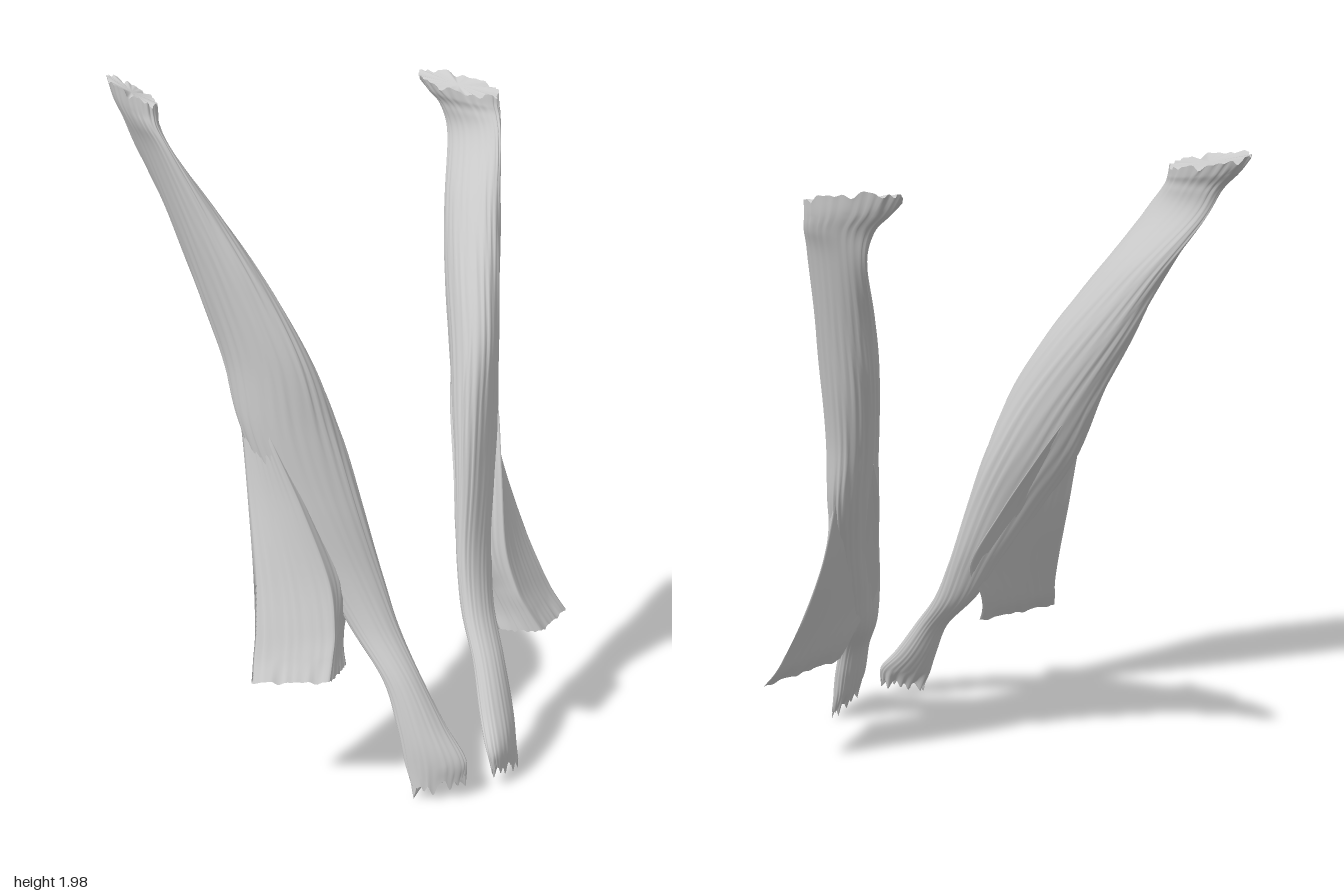
import * as THREE from 'three';

const SEG = 96; // points around each section
const STEPS = 9; // rings between two key sections

// Key sections from bottom to top:
// y, rise per x, rise per z, xMin, xMax, zMin, zMax, skew (-1..1)
const STRAND = [
  [0.045, -0.2, 0, 0.045, 0.185, 0.505, 0.58, -0.85],
  [0.11, -0.1, 0, 0.04, 0.19, 0.465, 0.575, -0.7],
  [0.20, 0, 0, 0.065, 0.195, 0.42, 0.52, -0.4],
  [0.32, 0, 0, 0.095, 0.205, 0.36, 0.445, -0.2],
  [0.45, 0, 0, 0.115, 0.245, 0.255, 0.35, -0.4],
  [0.60, 0, 0, 0.135, 0.30, 0.18, 0.285, -0.6],
  [0.80, 0, 0, 0.17, 0.38, 0.075, 0.235, -0.7],
  [1.00, 0, 0, 0.21, 0.437, -0.035, 0.19, -0.65],
  [1.20, 0, 0, 0.265, 0.456, -0.125, 0.145, -0.5],
  [1.40, 0, 0, 0.335, 0.497, -0.22, 0.055, -0.3],
  [1.60, 0, 0, 0.425, 0.543, -0.31, -0.055, 0],
  [1.78, 0, 0, 0.525, 0.588, -0.41, -0.15, 0.3],
  [1.86, 0, -0.1, 0.535, 0.615, -0.465, -0.19, 0.4],
  [1.905, 0.1, -0.17, 0.522, 0.625, -0.535, -0.205, 0.4],
  [1.945, 0.3, -0.22, 0.515, 0.63, -0.58, -0.21, 0.4],
];

// y, rise per x, rise per z, then x and z of the inner, front and outer corner
const SLIP = [
  [0.345, 0, 0, 0.27, 0.29, 0.37, 0.37, 0.56, 0.255],
  [0.40, 0, 0, 0.26, 0.26, 0.345, 0.345, 0.535, 0.22],
  [0.47, 0, 0, 0.235, 0.235, 0.32, 0.315, 0.51, 0.19],
  [0.60, 0, 0, 0.17, 0.205, 0.31, 0.265, 0.478, 0.132],
  [0.80, 0, 0, 0.22, 0.11, 0.35, 0.185, 0.45, 0.05],
  [1.00, 0, 0, 0.28, 0.0, 0.40, 0.09, 0.435, -0.01],
  [1.12, 0, 0, 0.33, -0.06, 0.40, 0.03, 0.435, -0.05],
];

// Section outlines: offsets from the centre for u = 0..1 around the section
function ellipse([, , , x0, x1, z0, z1, skew], u) {
  const a = u * Math.PI * 2;
  const phase = Math.acos(THREE.MathUtils.clamp(skew, -0.95, 0.95));
  return [(x0 + x1) / 2, (z0 + z1) / 2, ((x1 - x0) / 2) * Math.cos(a), ((z1 - z0) / 2) * Math.cos(a + phase)];
}

function triangle(row, u) {
  const c = [0, 1, 2].map((i) => [row[3 + 2 * i], row[4 + 2 * i]]);
  const i = Math.floor(u * 3);
  const f = u * 3 - i;
  const [p, q] = [c[i], c[(i + 1) % 3]];
  const cx = (c[0][0] + c[1][0] + c[2][0]) / 3;
  const cz = (c[0][1] + c[1][1] + c[2][1]) / 3;
  return [cx, cz, p[0] + (q[0] - p[0]) * f - cx, p[1] + (q[1] - p[1]) * f - cz];
}

// Fine lengthwise grooves that wander a little with height
const groove = (a, v) =>
  0.5 * Math.sin(23 * a + 2.5 * Math.sin(3 * v)) +
  0.3 * Math.sin(31 * a + 3 * Math.sin(2.1 * v + 1)) +
  0.2 * Math.sin(11 * a + 4 * v);

// Ragged edge of torn fibres
const ragged = (a) => 0.4 * Math.sin(7 * a) + 0.35 * Math.sin(12 * a + 1) + 0.25 * Math.sin(19 * a + 2);

// Lofts an outline through the key sections; teeth and sink are [bottom, top]
function fibreLoft(keys, outline, side, teeth, sink, depth) {
  const n = keys[0].length;
  const curve = new THREE.CubicInterpolant(keys.map((_, i) => i), keys.flat(), n, new Float32Array(n));
  const rings = (keys.length - 1) * STEPS;
  const pos = [];
  const index = [];
  const tri = (a, b, c) => (side > 0 ? index.push(a, b, c) : index.push(a, c, b));

  for (let i = 0; i <= rings; i++) {
    const t = i / STEPS;
    const row = curve.evaluate(t);
    const tear = teeth[0] * Math.max(0, 1 - t) + teeth[1] * Math.max(0, 2 - keys.length + t);
    for (let j = 0; j < SEG; j++) {
      const a = (j / SEG) * Math.PI * 2;
      const k = 1 + depth * (groove(a, row[0] * 2) - 0.3);
      const [cx, cz, dx, dz] = outline(row, j / SEG);
      pos.push(
        side * (cx + dx * k),
        row[0] + row[1] * dx + row[2] * dz + tear * ragged(a),
        cz + dz * k
      );
    }
  }
  for (let i = 0; i < rings; i++) {
    for (let j = 0; j < SEG; j++) {
      const a = i * SEG + j;
      const b = i * SEG + ((j + 1) % SEG);
      tri(a, b, a + SEG);
      tri(b, b + SEG, a + SEG);
    }
  }

  // End caps with their own vertices, so the rim stays sharp, and a sunken centre
  for (const [ring, dir, deep] of [[0, 1, sink[0]], [rings, -1, sink[1]]]) {
    const start = pos.length / 3;
    const centre = new THREE.Vector3();
    for (let j = 0; j < SEG; j++) {
      const p = new THREE.Vector3().fromArray(pos, (ring * SEG + j) * 3);
      centre.addScaledVector(p, 1 / SEG);
      pos.push(p.x, p.y, p.z);
    }
    pos.push(centre.x, centre.y + dir * deep, centre.z);
    for (let j = 0; j < SEG; j++) {
      const a = start + j;
      const b = start + ((j + 1) % SEG);
      if (dir > 0) tri(b, a, start + SEG);
      else tri(a, b, start + SEG);
    }
  }

  const geometry = new THREE.BufferGeometry();
  geometry.setAttribute('position', new THREE.Float32BufferAttribute(pos, 3));
  geometry.setIndex(index);
  geometry.computeVertexNormals();
  return geometry;
}

export function createModel() {
  const model = new THREE.Group();
  model.name = 'musclePair';
  const material = new THREE.MeshStandardMaterial({ color: 0xcccccc, roughness: 0.8 });

  for (const [name, side] of [['left', 1], ['right', -1]]) {
    const muscle = new THREE.Group();
    muscle.name = name + 'Muscle';

    // Long strand running from the narrow foot up to the hooked head
    const strand = new THREE.Mesh(fibreLoft(STRAND, ellipse, side, [0.026, 0.012], [0.07, 0.005], 0.03), material);
    strand.name = name + 'Strand';

    // Flared side slip, flush with the back of the strand
    const slip = new THREE.Mesh(fibreLoft(SLIP, triangle, side, [0.006, 0], [0.02, 0], 0.025), material);
    slip.name = name + 'SideSlip';

    muscle.add(strand, slip);
    model.add(muscle);
  }
  return model;
}
